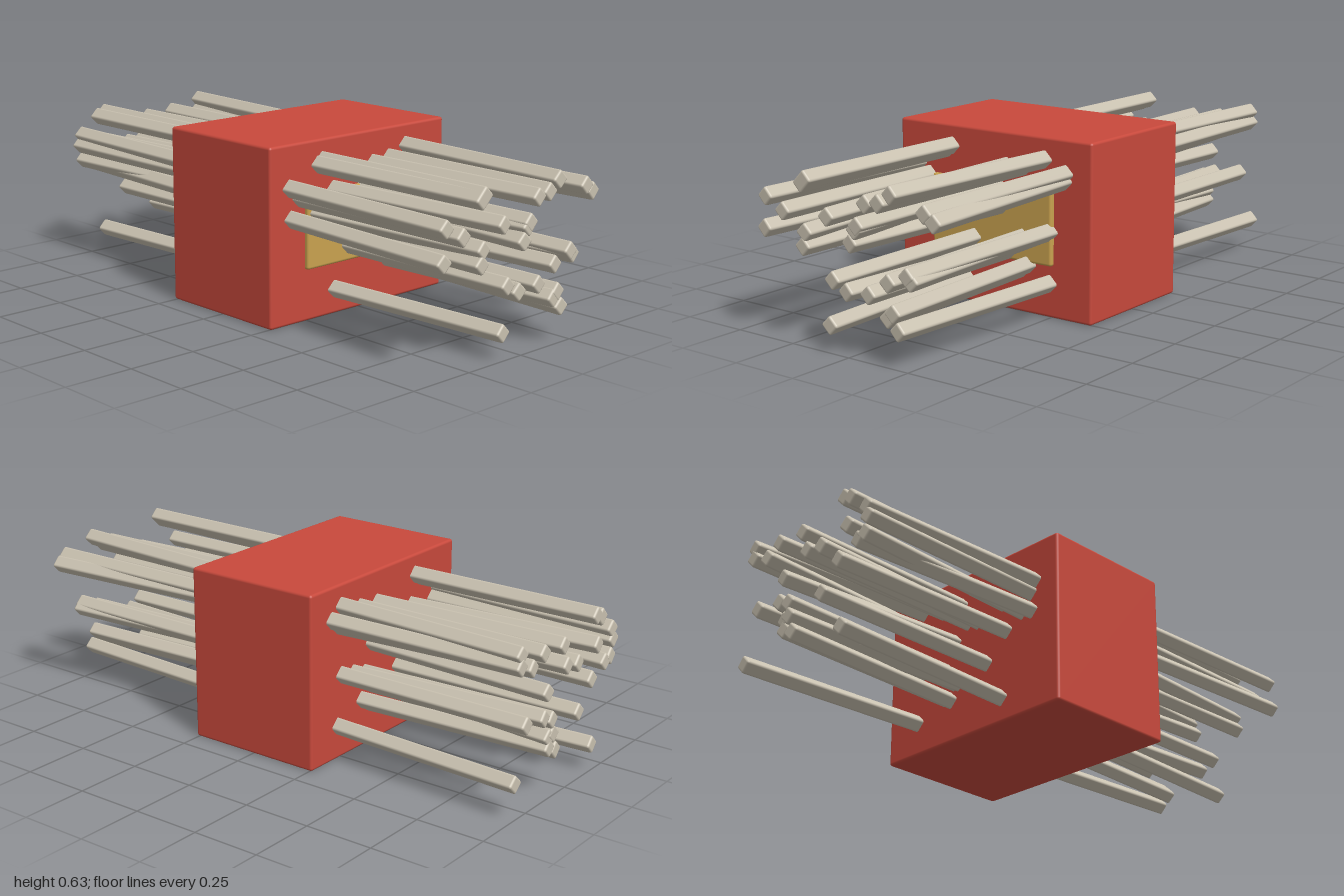
import * as THREE from 'three';
import { RoundedBoxGeometry } from 'three/addons/geometries/RoundedBoxGeometry.js';

export function createModel() {
  const model = new THREE.Group();
  model.name = 'strawBundle';
  const material = (name, color) => {
    const m = new THREE.MeshStandardMaterial({ color });
    m.name = name;
    return m;
  };
  const red = material('red', 0xc8493c);
  const gold = material('gold', 0xc9a24f);
  const straw = material('straw', 0xc9c1b0);

  const add = (name, geometry, mat, x, y, z, parent = model) => {
    const mesh = new THREE.Mesh(geometry, mat);
    mesh.name = name;
    mesh.position.set(x, y, z);
    parent.add(mesh);
    return mesh;
  };

  // Block and the raised label on its front
  add('block', new RoundedBoxGeometry(0.84, 0.63, 0.52, 2, 0.01), red, 0, 0.315, 0);
  add('frontLabel', new RoundedBoxGeometry(0.526, 0.264, 0.04, 2, 0.01), gold, 0, 0.317, 0.257);

  // Sticks: [x of front end, height, sideways drift from front end to back end]
  const sticks = [
    [-0.197, 0.543, -0.01], [-0.185, 0.555, 0.01],
    [-0.36, 0.479, 0.075], [-0.283, 0.44, -0.012],
    [-0.369, 0.371, 0.12], [-0.09, 0.447, -0.105],
    [-0.187, 0.382, -0.098], [-0.195, 0.335, 0.036],
    [0.03, 0.421, -0.095], [0.038, 0.434, -0.03],
    [0.009, 0.375, 0.117], [0.076, 0.511, -0.04],
    [0.13, 0.52, 0.03], [0.18, 0.553, 0.118],
    [0.319, 0.513, -0.02], [0.355, 0.488, -0.13],
    [-0.068, 0.243, -0.012], [-0.011, 0.213, 0.12],
    [0.085, 0.22, 0], [0.167, 0.272, -0.075],
    [0.245, 0.304, 0.01], [0.26, 0.29, -0.12],
    [0.165, 0.157, -0.1], [0.186, 0.176, -0.08],
    [0.205, 0.121, 0.107], [-0.085, 0.09, -0.1],
  ];
  const stickGeometry = new RoundedBoxGeometry(0.049, 0.049, 2, 2, 0.008);
  stickGeometry.rotateZ(Math.PI / 4);
  const bundle = new THREE.Group();
  bundle.name = 'sticks';
  model.add(bundle);
  sticks.forEach(([x, y, drift], i) => {
    const stick = add(`stick${i + 1}`, stickGeometry, straw, x + drift / 2, y, 0, bundle);
    stick.rotation.y = -Math.atan2(drift, 2);
  });
  return model;
}
